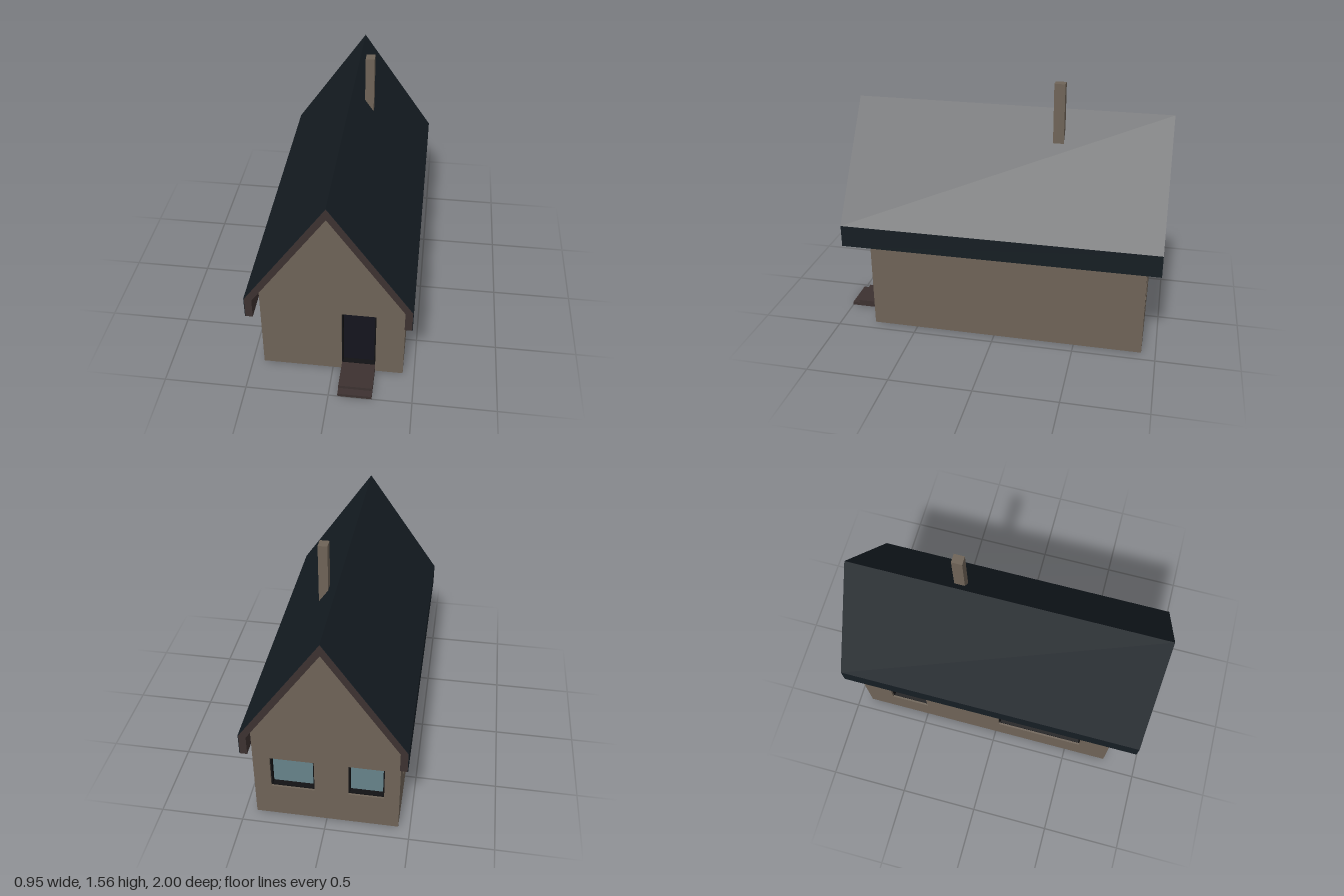
import * as THREE from 'three';

const mat = (color) => new THREE.MeshStandardMaterial({ color, flatShading: true });
const T = 0.05; // wall thickness
const W = 0.43, EAVE = 0.68, RIDGE = 1.3, FRONT = 0.78, BACK = -0.915;

function polygon(points) {
  return new THREE.Shape(points.map(([x, y]) => new THREE.Vector2(x, y)));
}

function rect(x0, y0, x1, y1, grow = 0) {
  return polygon([[x0 - grow, y0 - grow], [x1 + grow, y0 - grow],
    [x1 + grow, y1 + grow], [x0 - grow, y1 + grow]]);
}

// Extrudes a shape from z0 to z1
function extrude(shape, z0, z1, material, name) {
  const geo = new THREE.ExtrudeGeometry(shape, { depth: z1 - z0, bevelEnabled: false });
  geo.translate(0, 0, z0);
  const mesh = new THREE.Mesh(geo, material);
  mesh.name = name;
  return mesh;
}

function box(name, material, x0, x1, y0, y1, z0, z1) {
  const mesh = new THREE.Mesh(new THREE.BoxGeometry(x1 - x0, y1 - y0, z1 - z0), material);
  mesh.position.set((x0 + x1) / 2, (y0 + y1) / 2, (z0 + z1) / 2);
  mesh.name = name;
  return mesh;
}

export function createModel() {
  const house = new THREE.Group();
  house.name = 'house';
  const wallMat = mat(0x6e6357), trimMat = mat(0x3c3130), roofMat = mat(0x151d23);
  const frameMat = mat(0x111113), glassMat = mat(0x66828a), doorMat = mat(0x14141d);

  // A wall with its outer face at local z = 0, and a framed pane in each opening
  function wall(name, outline, openings, x, z, turn) {
    const group = new THREE.Group();
    group.name = name;
    for (const { r, kind } of openings) {
      outline.holes.push(rect(...r));
      const ring = rect(...r);
      ring.holes.push(rect(...r, -0.008));
      group.add(extrude(ring, -T, -0.012, frameMat, kind + 'Frame'));
      group.add(extrude(rect(...r), -T - 0.01, -T + 0.005,
        kind === 'door' ? doorMat : glassMat, kind + 'Panel'));
    }
    group.add(extrude(outline, -T, 0, wallMat, name + 'Panel'));
    group.position.set(x, 0, z);
    group.rotation.y = turn;
    house.add(group);
  }

  const gable = () => polygon([[-W, 0], [W, 0], [W, EAVE], [0, RIDGE], [-W, EAVE]]);
  const win = (a, b) => ({ r: [a, 0.228, b, 0.453], kind: 'window' });

  wall('frontWall', gable(), [{ r: [0.055, 0.035, 0.26, 0.465], kind: 'door' }], 0, FRONT, 0);
  wall('backWall', gable(), [win(-0.33, -0.07), win(0.13, 0.34)], 0, BACK, Math.PI);
  wall('leftWall', rect(-FRONT + T, 0, -BACK - T, EAVE), [], W, 0, Math.PI / 2);
  wall('rightWall', rect(BACK + T, 0, FRONT - T, EAVE),
    [win(-0.727, -0.48), win(0.026, 0.586)], -W, 0, -Math.PI / 2);
  house.add(box('floor', wallMat, -W + T, W - T, 0, 0.03, BACK + T, FRONT - T));

  // Roof: a thick chevron with drop eaves, covered by a thin dark skin
  const R = 0.475, S = 0.003;
  const chevron = (o, oEave, oTop, i, iEave, iTop) => polygon([
    [o, 0.555], [o, oEave], [0, oTop], [-o, oEave], [-o, 0.555],
    [-i, 0.555], [-i, iEave], [0, iTop], [i, iEave], [i, 0.555]]);
  house.add(extrude(chevron(R - S, 0.689, 1.37, W, EAVE, RIDGE), -1, 0.945, trimMat, 'roofBody'));
  house.add(extrude(chevron(R, 0.691, 1.376, R - S, 0.689, 1.37), -1, 0.945, roofMat, 'roofCovering'));

  // Chimney and entrance steps
  house.add(box('chimney', wallMat, 0.07, 0.125, 1.1, 1.56, -0.365, -0.3));
  house.add(box('lowerStep', trimMat, 0.055, 0.26, 0, 0.02, FRONT, 1));
  house.add(box('upperStep', trimMat, 0.055, 0.26, 0.02, 0.04, FRONT - 0.03, 0.955));
  return house;
}
